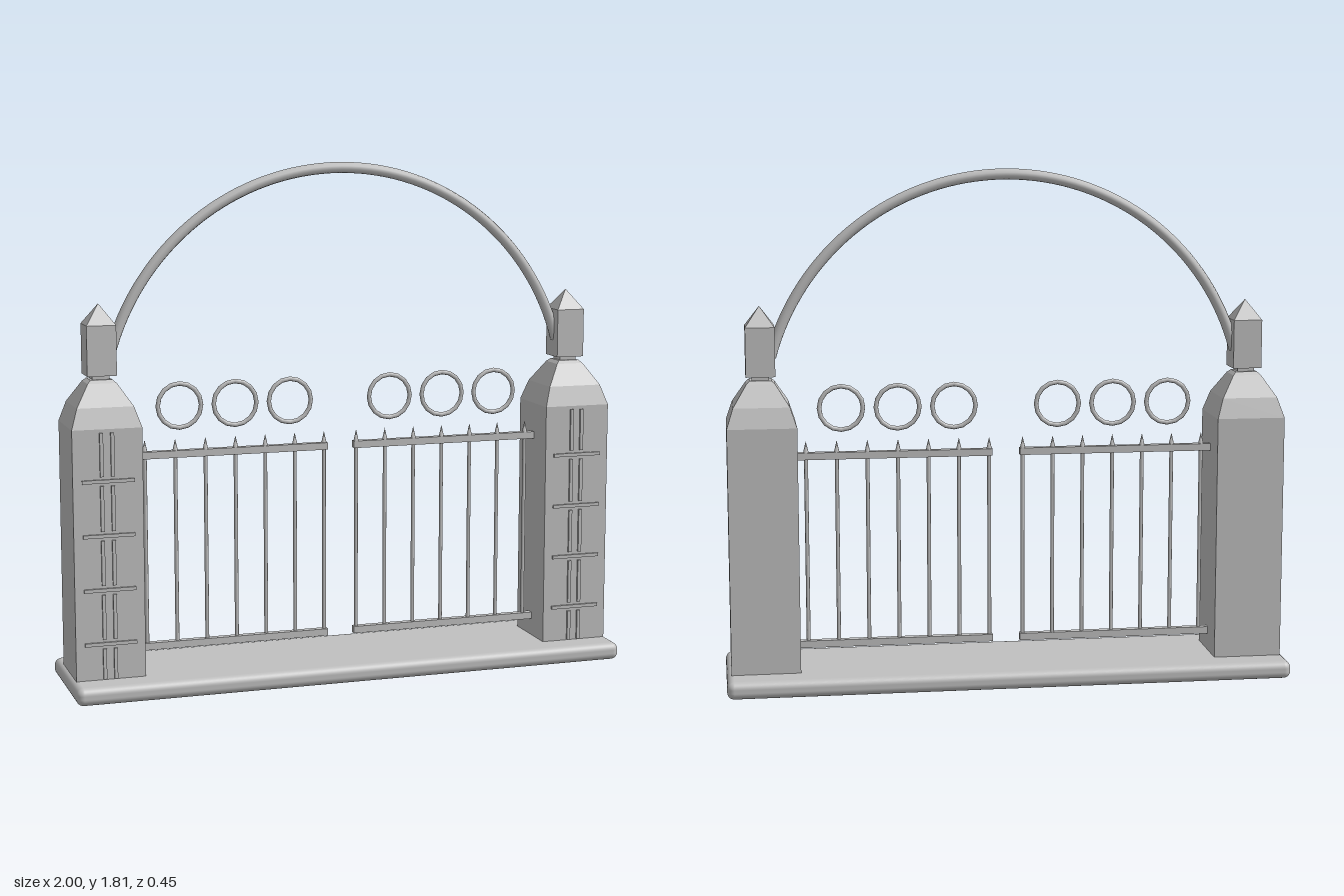
import * as THREE from 'three';
import { RoundedBoxGeometry } from 'three/addons/geometries/RoundedBoxGeometry.js';

const stone = new THREE.MeshStandardMaterial({ color: 0xc0c0c0 });
stone.name = 'paleGrey';

function add(parent, name, geometry, x = 0, y = 0, z = 0) {
  const mesh = new THREE.Mesh(geometry, stone);
  mesh.name = name;
  mesh.position.set(x, y, z);
  parent.add(mesh);
  return mesh;
}

// Square-section solid from [halfWidth, y] pairs, with flat faces
function squareLathe(profile) {
  const points = profile.map(([h, y]) => new THREE.Vector2(h * Math.SQRT2, y));
  const geometry = new THREE.LatheGeometry(points, 4, Math.PI / 4).toNonIndexed();
  geometry.computeVertexNormals();
  return geometry;
}

function makePillar() {
  const pillar = new THREE.Group();
  add(pillar, 'shaft', squareLathe([[0, 0.05], [0.121, 0.05], [0.121, 0.93]]));
  add(pillar, 'shoulder', squareLathe([
    [0.121, 0.93], [0.098, 1.0], [0.05, 1.075], [0.038, 1.086], [0, 1.088],
  ]));
  add(pillar, 'neck', squareLathe([[0.03, 1.08], [0.03, 1.105]]));
  add(pillar, 'lantern', squareLathe([
    [0, 1.1], [0.051, 1.1], [0.051, 1.272], [0, 1.343],
  ]));
  // Raised joints on the front face
  const joints = new THREE.Group();
  joints.name = 'stoneJoints';
  pillar.add(joints);
  const pitch = 0.188;
  for (let i = 1; i <= 4; i++) {
    add(joints, 'horizontalJoint', new THREE.BoxGeometry(0.18, 0.012, 0.012), 0, i * pitch, 0.123);
  }
  for (let i = 0; i < 5; i++) {
    const low = i === 0 ? 0.065 : i * pitch + 0.016;
    const high = i === 4 ? 0.918 : (i + 1) * pitch - 0.016;
    for (const x of [-0.022, 0.016]) {
      add(joints, 'verticalJoint', new THREE.BoxGeometry(0.012, high - low, 0.012), x, (low + high) / 2, 0.123);
    }
  }
  return pillar;
}

function makeGate(side) {
  const gate = new THREE.Group();
  for (const y of [0.135, 0.812]) {
    add(gate, 'rail', new THREE.BoxGeometry(0.695, 0.025, 0.025), side * 0.3965, y);
  }
  for (let i = 0; i < 7; i++) {
    const x = side * (0.06 + i * 0.108);
    add(gate, 'bar', new THREE.CylinderGeometry(0.007, 0.007, 0.7, 8), x, 0.475);
    add(gate, 'spearTip', new THREE.ConeGeometry(0.011, 0.047, 8), x, 0.842);
  }
  for (let i = 0; i < 3; i++) {
    add(gate, 'ring', new THREE.TorusGeometry(0.077, 0.008, 8, 16), side * (0.185 + i * 0.199), 0.98);
  }
  return gate;
}

export function createModel() {
  const model = new THREE.Group();
  model.name = 'archedGateway';

  add(model, 'basePlinth', new RoundedBoxGeometry(2, 0.062, 0.45, 4, 0.025), 0, 0.031);

  for (const side of [-1, 1]) {
    const pillar = makePillar();
    pillar.name = side > 0 ? 'leftPillar' : 'rightPillar';
    pillar.position.x = side * 0.862;
    model.add(pillar);
    const gate = makeGate(side);
    gate.name = side > 0 ? 'leftGate' : 'rightGate';
    model.add(gate);
  }

  // Overhead arch springing from the lanterns
  const start = 0.27, radius = 0.856;
  const arch = add(model, 'arch',
    new THREE.TorusGeometry(radius, 0.019, 10, 64, Math.PI - 2 * start), 0, 0.935);
  arch.rotation.z = start;

  return model;
}
